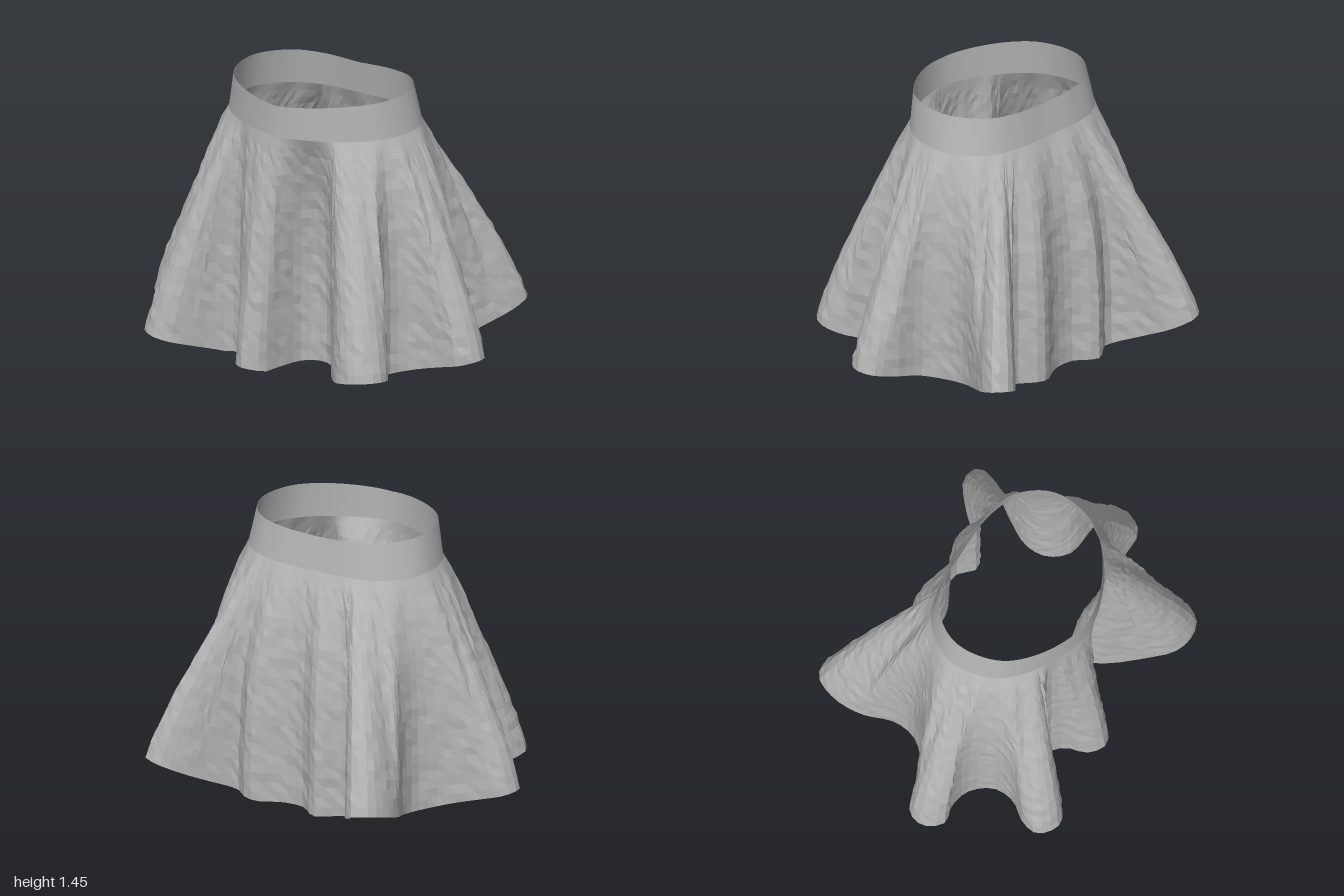
import * as THREE from 'three';

const COLS = 168, BAND_ROWS = 4, BODY_ROWS = 24, BAND_Y = 1.25, MID_Z = 0.1;

// Closed smooth outline in plan, sampled evenly; pairs are x, z
function outline(pairs, count) {
  const pts = [];
  for (let i = 0; i < pairs.length; i += 2) pts.push(new THREE.Vector3(pairs[i], 0, pairs[i + 1]));
  return new THREE.CatmullRomCurve3(pts, true, 'centripetal').getSpacedPoints(count).slice(0, count);
}

// Waist: rounded front, flatter back
const half = [0.485, 0.08, 0.43, 0.27, 0.25, 0.43];
const WAIST = [...half, 0, 0.51, -0.25, 0.43, -0.43, 0.27, -0.485, 0.08, -0.46, -0.05, -0.35, -0.18,
  -0.2, -0.23, 0, -0.235, 0.2, -0.23, 0.35, -0.18, 0.46, -0.05];

// Hem: six large flutes, small pleats at front and back
const HEM = [
  0.99, 0.12, 0.93, 0.215, 0.8, 0.215, 0.65, 0.23, 0.57, 0.32, 0.6, 0.44, 0.7, 0.53,
  0.735, 0.63, 0.69, 0.72, 0.6, 0.745, 0.5, 0.71, 0.42, 0.62, 0.33, 0.5, 0.27, 0.42,
  0.22, 0.34, 0.14, 0.31, 0.06, 0.35, 0.01, 0.5, -0.02, 0.63, -0.1, 0.675, -0.18, 0.62,
  -0.22, 0.5, -0.3, 0.44, -0.37, 0.48, -0.47, 0.61, -0.55, 0.7, -0.63, 0.72, -0.72, 0.65,
  -0.7, 0.55, -0.62, 0.44, -0.61, 0.32, -0.7, 0.22, -0.82, 0.2, -0.92, 0.225, -1, 0.14,
  -0.97, 0.04, -0.85, 0, -0.7, -0.06, -0.59, -0.18, -0.58, -0.3, -0.65, -0.45, -0.67, -0.6,
  -0.63, -0.72, -0.55, -0.75, -0.47, -0.68, -0.4, -0.53, -0.3, -0.39, -0.15, -0.475, -0.04, -0.4,
  0.08, -0.4, 0.25, -0.475, 0.37, -0.39, 0.45, -0.46, 0.58, -0.61, 0.68, -0.68, 0.76, -0.65,
  0.75, -0.55, 0.66, -0.4, 0.59, -0.25, 0.6, -0.13, 0.68, -0.03, 0.85, 0, 0.96, 0.04,
];

// Pair every hem point with a waist point by smoothed direction
function waistForHem(hem) {
  const waist = outline(WAIST, 1440);
  const dir = p => Math.atan2(p.z - MID_Z, p.x);
  const angles = hem.map(dir);
  for (let i = 1; i < COLS; i++) {
    while (angles[i] - angles[i - 1] > Math.PI) angles[i] -= 2 * Math.PI;
    while (angles[i] - angles[i - 1] < -Math.PI) angles[i] += 2 * Math.PI;
  }
  const at = i => angles[(i + COLS) % COLS] + 2 * Math.PI * Math.floor(i / COLS);
  const reach = 5;
  return hem.map((_, i) => {
    let sum = 0;
    for (let k = -reach; k <= reach; k++) sum += at(i + k);
    const a = sum / (2 * reach + 1), ux = Math.cos(a), uz = Math.sin(a);
    let best = waist[0], bestDot = -2;
    for (const p of waist) {
      const dot = (p.x * ux + (p.z - MID_Z) * uz) / Math.hypot(p.x, p.z - MID_Z);
      if (dot > bestDot) { bestDot = dot; best = p; }
    }
    return best;
  });
}

// Open tube through rows of points, point(col, row) -> Vector3
function loft(rows, point) {
  const pos = [], index = [];
  for (let r = 0; r <= rows; r++)
    for (let c = 0; c < COLS; c++) pos.push(...point(c, r).toArray());
  for (let r = 0; r < rows; r++)
    for (let c = 0; c < COLS; c++) {
      const n = (c + 1) % COLS;
      const a = r * COLS + c, b = r * COLS + n, d = a + COLS, e = b + COLS;
      index.push(a, b, d, b, e, d);
    }
  const geo = new THREE.BufferGeometry();
  geo.setAttribute('position', new THREE.Float32BufferAttribute(pos, 3));
  geo.setIndex(index);
  geo.computeVertexNormals();
  return geo;
}

export function createModel() {
  const group = new THREE.Group();
  group.name = 'skirt';
  const cloth = new THREE.MeshStandardMaterial({ color: 0xb4b4b4, side: THREE.DoubleSide, flatShading: true });
  cloth.name = 'grey cloth';

  const hem = outline(HEM, COLS);
  const top = waistForHem(hem);
  const base = top.map(p => new THREE.Vector3(p.x * 1.08, BAND_Y, 0.51 - (0.51 - p.z) * 1.04));

  // Waistband, dipping slightly at the front and back
  const band = new THREE.Mesh(loft(BAND_ROWS, (c, r) => {
    const p = top[c].clone();
    p.y = 1.415 + 0.03 * Math.min(1, Math.abs(p.x) / 0.48) + (p.z < 0 ? 0.012 * (1 - Math.abs(p.x) / 0.48) : 0);
    return p.lerp(base[c], r / BAND_ROWS);
  }), cloth);
  band.name = 'waistband';

  // Hem rises at the tips of the flutes, most at the back
  hem.forEach(p => {
    const out = Math.max(0, Math.hypot(p.x, p.z - 0.05) - 0.55);
    p.y = out * (0.27 + 0.19 * Math.max(0, -p.z));
  });

  // Small seeded wobble for creased cloth
  let seed = 7;
  const wobble = () => {
    seed = (seed * 16807) % 2147483647;
    return (seed / 2147483647 - 0.5) * 0.008;
  };

  // Valleys drop steeply from the hips while flutes flare evenly
  const body = new THREE.Mesh(loft(BODY_ROWS, (c, r) => {
    const s = r / BODY_ROWS, a = base[c], h = hem[c];
    const flare = THREE.MathUtils.smoothstep(Math.hypot(h.x - a.x, h.z - a.z), 0.12, 0.45);
    const front = THREE.MathUtils.smoothstep(h.z, 0.48, 0.62);
    const power = THREE.MathUtils.lerp(3.6, 1.2, Math.max(flare, front));
    const spread = 1 - Math.pow(1 - s, power);
    const p = new THREE.Vector3(
      THREE.MathUtils.lerp(a.x, h.x, spread),
      THREE.MathUtils.lerp(a.y, h.y, s),
      THREE.MathUtils.lerp(a.z, h.z, spread));
    if (r > 1 && r < BODY_ROWS) p.add(new THREE.Vector3(wobble(), wobble(), wobble()));
    return p;
  }), cloth);
  body.name = 'pleatedBody';

  group.add(band, body);
  return group;
}
